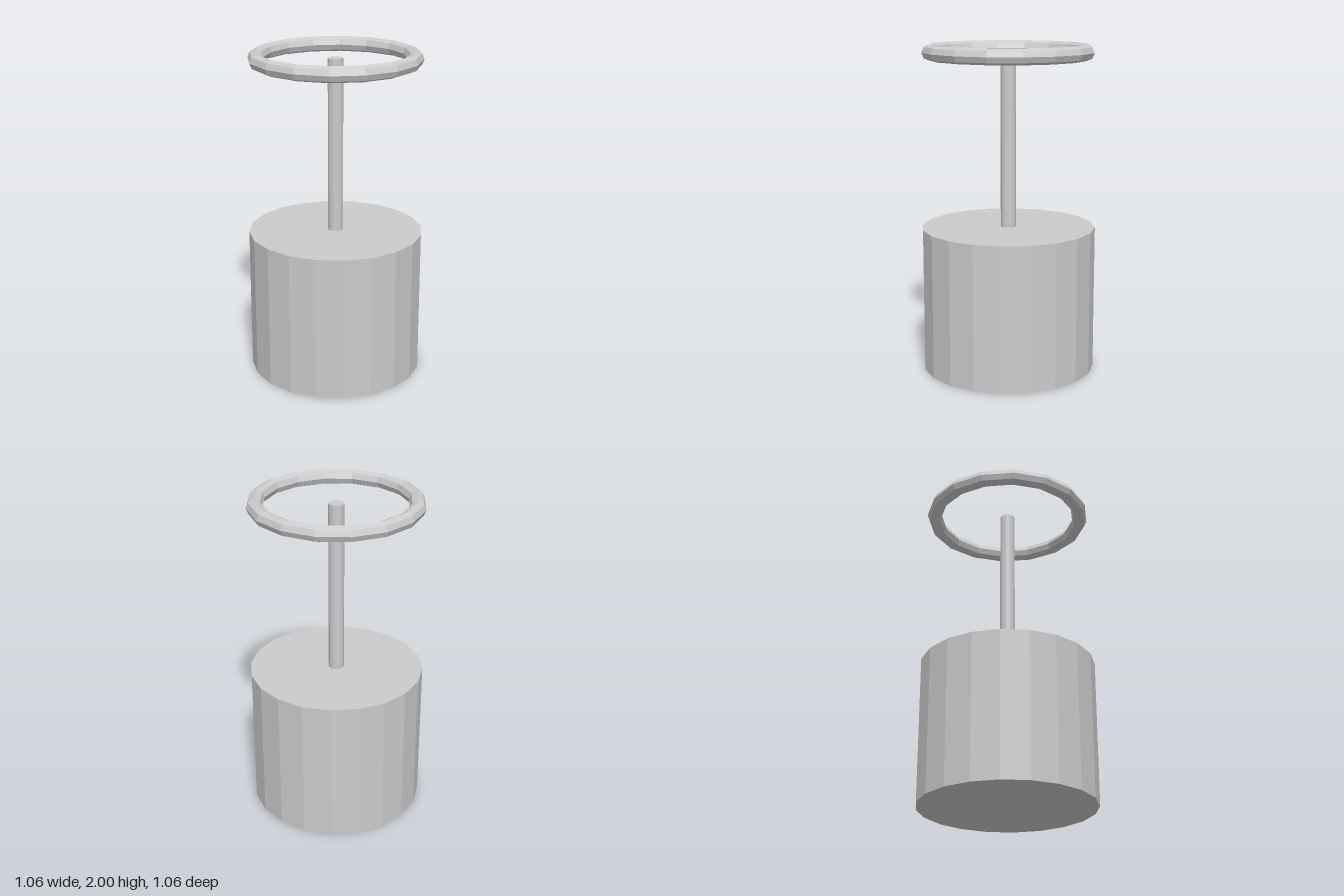
import * as THREE from 'three';

export function createModel() {
  const model = new THREE.Group();
  const material = new THREE.MeshStandardMaterial({ color: 0xcccccc, flatShading: true });

  const baseHeight = 0.888;
  const tube = 0.047;
  const ringY = 2 - tube;

  const add = (name, geometry, y) => {
    const mesh = new THREE.Mesh(geometry, material);
    mesh.name = name;
    mesh.position.y = y;
    model.add(mesh);
    return mesh;
  };

  // Heavy drum standing on the ground
  add('base', new THREE.CylinderGeometry(0.532, 0.532, baseHeight, 20), baseHeight / 2);

  // Thin pole from the drum up to the middle of the ring
  const poleHeight = ringY - baseHeight;
  add('pole', new THREE.CylinderGeometry(tube, tube, poleHeight, 12), baseHeight + poleHeight / 2);

  // Horizontal ring floating around the pole top
  const ring = add('ring', new THREE.TorusGeometry(0.473, tube, 8, 16), ringY);
  ring.rotation.x = Math.PI / 2;

  return model;
}
